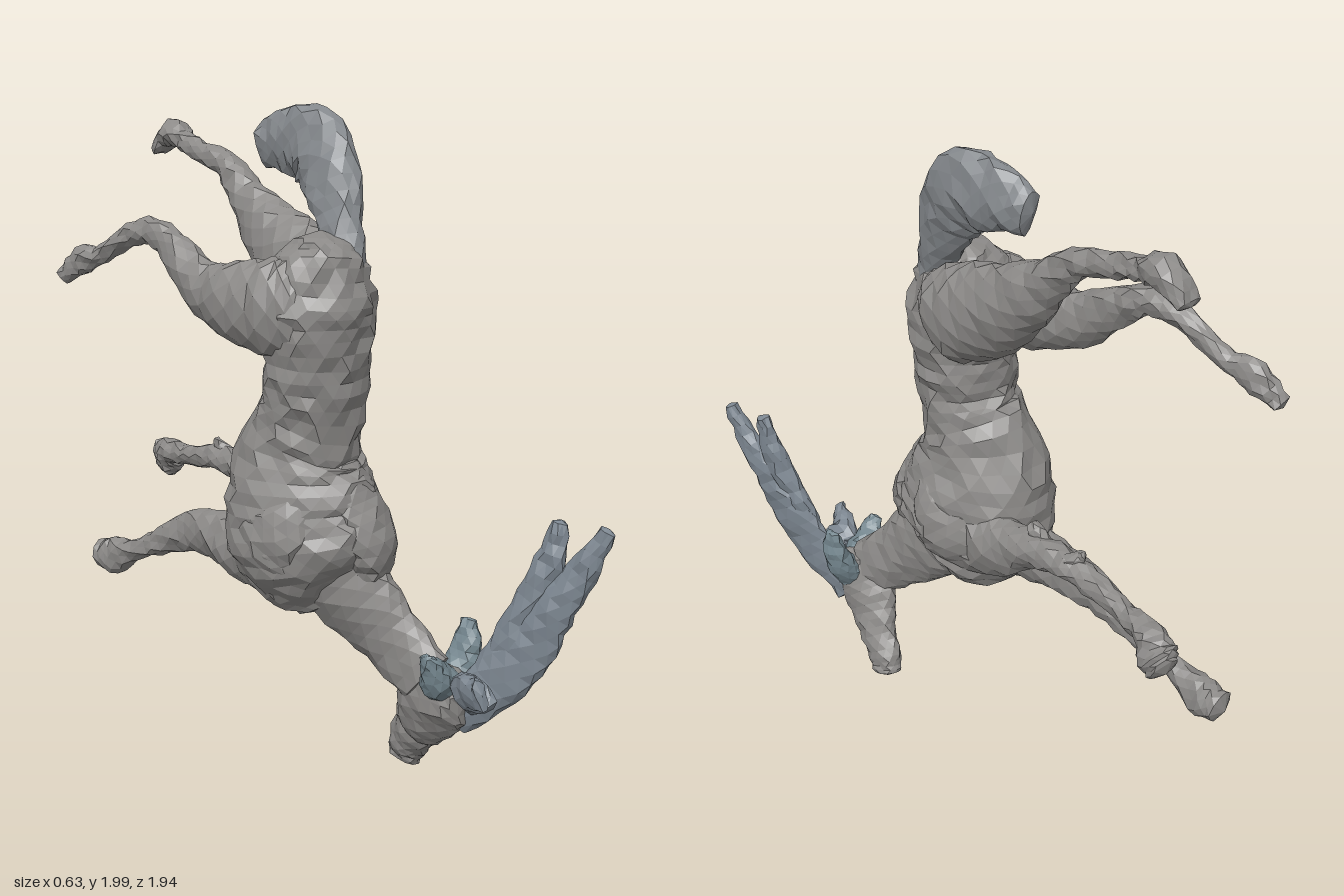
import * as THREE from 'three';

const coat = new THREE.MeshStandardMaterial({ color: 0x8c8a88, flatShading: true });
const brush = new THREE.MeshStandardMaterial({ color: 0x84888c, flatShading: true });
const horn = new THREE.MeshStandardMaterial({ color: 0x7c8690, flatShading: true });
const velvet = new THREE.MeshStandardMaterial({ color: 0x74868e, flatShading: true });

// Repeatable roughness for the craggy surface, in -1..1
let seed = 7;
function rough() {
  seed = (seed * 16807) % 2147483647;
  return (seed / 2147483647) * 2 - 1;
}

// Closed skin through stations [x, y, z, sideways radius, radius in the yz plane]
function limb(name, stations, { sides = 10, steps = 4, bump = 0.006, material = coat } = {}) {
  const path = new THREE.CatmullRomCurve3(stations.map(([x, y, z]) => new THREE.Vector3(x, y, z)));
  const radii = new THREE.CatmullRomCurve3(stations.map((s) => new THREE.Vector3(s[3], s[4], 0)));
  const rings = (stations.length - 1) * steps;
  const position = [], index = [];
  const X = new THREE.Vector3(1, 0, 0);
  const put = (v) => position.push(v.x, v.y, v.z);
  for (let i = 0; i <= rings; i++) {
    const t = i / rings;
    const T = path.getTangent(t), C = path.getPoint(t), R = radii.getPoint(t);
    const N = X.clone().addScaledVector(T, -T.x).normalize();
    const B = T.clone().cross(N);
    for (let j = 0; j < sides; j++) {
      const a = ((j + (i % 2) * 0.5) / sides) * Math.PI * 2;
      const n = rough() * bump;
      put(C.clone().addScaledVector(N, Math.cos(a) * (R.x + n)).addScaledVector(B, Math.sin(a) * (R.y + n)));
    }
  }
  // Alternate rings are turned half a step, so the diagonals alternate too
  for (let i = 0; i < rings; i++) {
    for (let j = 0; j < sides; j++) {
      const a = i * sides + j, b = i * sides + ((j + 1) % sides);
      const c = a + sides, d = b + sides;
      if (i % 2) index.push(a, b, d, a, d, c);
      else index.push(a, b, c, b, d, c);
    }
  }
  // Domed ends
  const first = position.length / 3, last = rings * sides;
  const dome = (t, sign, s) => put(path.getPoint(t).addScaledVector(path.getTangent(t), sign * Math.min(s[3], s[4]) * 0.4));
  dome(0, -1, stations[0]);
  dome(1, 1, stations[stations.length - 1]);
  for (let j = 0; j < sides; j++) {
    const k = (j + 1) % sides;
    index.push(first, k, j, first + 1, last + j, last + k);
  }
  const geometry = new THREE.BufferGeometry();
  geometry.setAttribute('position', new THREE.Float32BufferAttribute(position, 3));
  geometry.setIndex(index);
  geometry.computeVertexNormals();
  const mesh = new THREE.Mesh(geometry, material);
  mesh.name = name;
  return mesh;
}

export function createModel() {
  const model = new THREE.Group();
  model.name = 'upendedDeer';

  // Body, from rump down to chest
  model.add(limb('body', [
    [-0.09, 1.62, 0.08, 0.08, 0.07],
    [-0.1, 1.55, 0.085, 0.14, 0.14],
    [-0.1, 1.42, 0.075, 0.18, 0.17],
    [-0.1, 1.27, 0.075, 0.165, 0.15],
    [-0.095, 1.13, 0.06, 0.145, 0.155],
    [-0.09, 1.0, 0.01, 0.155, 0.2],
    [-0.09, 0.85, 0.01, 0.195, 0.25],
    [-0.09, 0.72, 0.03, 0.21, 0.26],
    [-0.08, 0.6, 0.06, 0.155, 0.19],
    [-0.07, 0.53, 0.1, 0.08, 0.1],
  ], { sides: 20, bump: 0.011 }));

  // Withers
  model.add(limb('withers', [
    [-0.09, 0.97, 0.17, 0.05, 0.03],
    [-0.09, 0.86, 0.21, 0.1, 0.06],
    [-0.08, 0.75, 0.255, 0.1, 0.07],
    [-0.07, 0.64, 0.26, 0.06, 0.05],
  ]));

  // Shoulders, lying flat against the chest
  for (const side of [-1, 1]) {
    model.add(limb(side > 0 ? 'leftShoulder' : 'rightShoulder', [
      [-0.09 + side * 0.11, 0.92, 0.1, 0.03, 0.04],
      [-0.09 + side * 0.155, 0.8, 0.06, 0.06, 0.1],
      [-0.09 + side * 0.155, 0.72, 0, 0.06, 0.12],
      [-0.09 + side * 0.11, 0.62, -0.05, 0.04, 0.07],
    ], { sides: 12 }));
  }

  // Neck and head
  model.add(limb('neck', [
    [-0.08, 0.68, 0.08, 0.13, 0.19],
    [-0.07, 0.56, 0.2, 0.085, 0.145],
    [-0.06, 0.46, 0.31, 0.055, 0.115],
    [-0.06, 0.35, 0.44, 0.055, 0.1],
  ], { sides: 12 }));
  model.add(limb('head', [
    [-0.06, 0.36, 0.56, 0.045, 0.05],
    [-0.06, 0.32, 0.5, 0.07, 0.11],
    [-0.035, 0.24, 0.43, 0.065, 0.11],
    [0.005, 0.16, 0.375, 0.05, 0.08],
    [0.035, 0.08, 0.32, 0.045, 0.065],
    [0.05, 0.03, 0.3, 0.035, 0.055],
  ], { sides: 12 }));

  // Ears, spreading sideways from the poll
  model.add(limb('leftEar', [
    [-0.04, 0.31, 0.5, 0.055, 0.06],
    [0.015, 0.38, 0.515, 0.045, 0.055],
    [0.04, 0.45, 0.52, 0.03, 0.045],
    [0.05, 0.52, 0.52, 0.012, 0.025],
  ], { material: velvet, steps: 3 }));
  model.add(limb('rightEar', [
    [-0.06, 0.34, 0.5, 0.055, 0.06],
    [-0.11, 0.38, 0.515, 0.055, 0.055],
    [-0.15, 0.43, 0.515, 0.035, 0.04],
    [-0.175, 0.47, 0.51, 0.012, 0.02],
  ], { material: velvet, steps: 3 }));

  // Antlers: a tall forked one and a short curled one
  model.add(limb('leftAntler', [
    [-0.03, 0.24, 0.52, 0.04, 0.06],
    [-0.01, 0.37, 0.64, 0.035, 0.085],
    [0.01, 0.5, 0.725, 0.035, 0.09],
    [0.02, 0.62, 0.8, 0.035, 0.07],
    [0.035, 0.74, 0.88, 0.03, 0.045],
    [0.045, 0.87, 0.945, 0.022, 0.025],
  ], { material: horn }));
  model.add(limb('leftAntlerTine', [
    [0, 0.45, 0.66, 0.03, 0.05],
    [0.015, 0.6, 0.72, 0.03, 0.05],
    [0.035, 0.75, 0.78, 0.03, 0.045],
    [0.045, 0.87, 0.805, 0.02, 0.022],
  ], { material: horn }));
  model.add(limb('rightAntler', [
    [-0.03, 0.31, 0.57, 0.035, 0.045],
    [-0.09, 0.35, 0.62, 0.035, 0.055],
    [-0.15, 0.39, 0.64, 0.035, 0.055],
    [-0.195, 0.41, 0.7, 0.02, 0.045],
  ], { material: horn }));

  // Tail, bushy at the tip
  model.add(limb('tail', [
    [-0.06, 1.5, 0.16, 0.06, 0.06],
    [-0.02, 1.65, 0.1, 0.055, 0.07],
    [0.03, 1.79, 0.03, 0.055, 0.105],
    [0.07, 1.875, -0.06, 0.055, 0.12],
    [0.09, 1.885, -0.17, 0.05, 0.1],
    [0.1, 1.87, -0.27, 0.035, 0.065],
  ], { sides: 12, material: brush, bump: 0.008 }));

  // Legs, each from the body out to the hoof
  const legs = {
    leftHindLeg: [
      [-0.02, 1.43, 0.1, 0.08, 0.12],
      [0.01, 1.46, 0.03, 0.11, 0.15],
      [0.045, 1.52, -0.1, 0.1, 0.145],
      [0.09, 1.61, -0.24, 0.075, 0.105],
      [0.13, 1.71, -0.36, 0.05, 0.065],
      [0.155, 1.79, -0.45, 0.038, 0.045],
      [0.185, 1.83, -0.58, 0.032, 0.035],
      [0.22, 1.86, -0.68, 0.035, 0.032],
      [0.255, 1.885, -0.76, 0.053, 0.045],
      [0.275, 1.83, -0.84, 0.04, 0.02],
    ],
    rightHindLeg: [
      [-0.19, 1.44, 0.11, 0.07, 0.12],
      [-0.205, 1.43, 0.03, 0.095, 0.15],
      [-0.2, 1.43, -0.11, 0.095, 0.13],
      [-0.17, 1.455, -0.28, 0.06, 0.085],
      [-0.135, 1.55, -0.42, 0.045, 0.06],
      [-0.11, 1.605, -0.53, 0.035, 0.045],
      [-0.1, 1.59, -0.64, 0.03, 0.035],
      [-0.09, 1.52, -0.77, 0.027, 0.03],
      [-0.085, 1.49, -0.87, 0.035, 0.045],
      [-0.085, 1.43, -0.95, 0.03, 0.028],
    ],
    leftForeLeg: [
      [-0.01, 0.73, -0.02, 0.11, 0.16],
      [0.05, 0.75, -0.17, 0.075, 0.105],
      [0.09, 0.81, -0.3, 0.055, 0.06],
      [0.125, 0.835, -0.43, 0.045, 0.045],
      [0.16, 0.83, -0.55, 0.037, 0.04],
      [0.2, 0.805, -0.69, 0.03, 0.033],
      [0.24, 0.795, -0.79, 0.045, 0.045],
      [0.27, 0.765, -0.83, 0.05, 0.07],
      [0.285, 0.745, -0.86, 0.035, 0.055],
    ],
    rightForeLeg: [
      [-0.14, 0.64, 0, 0.1, 0.14],
      [-0.11, 0.64, -0.17, 0.08, 0.1],
      [-0.07, 0.65, -0.32, 0.06, 0.085],
      [-0.04, 0.635, -0.46, 0.045, 0.07],
      [-0.025, 0.575, -0.6, 0.037, 0.045],
      [-0.01, 0.51, -0.74, 0.03, 0.035],
      [0.01, 0.465, -0.85, 0.045, 0.065],
      [0.02, 0.455, -0.92, 0.05, 0.055],
    ],
  };
  for (const [name, stations] of Object.entries(legs)) model.add(limb(name, stations));

  // Elbow and knee spurs on the left foreleg
  model.add(limb('elbowSpur', [[0.09, 0.82, -0.36, 0.03, 0.04], [0.09, 0.87, -0.32, 0.025, 0.03], [0.09, 0.9, -0.3, 0.012, 0.012]], { sides: 7, steps: 2 }));
  model.add(limb('kneeSpur', [[0.14, 0.84, -0.45, 0.03, 0.03], [0.14, 0.88, -0.49, 0.02, 0.02], [0.14, 0.9, -0.51, 0.01, 0.01]], { sides: 7, steps: 2 }));

  return model;
}
